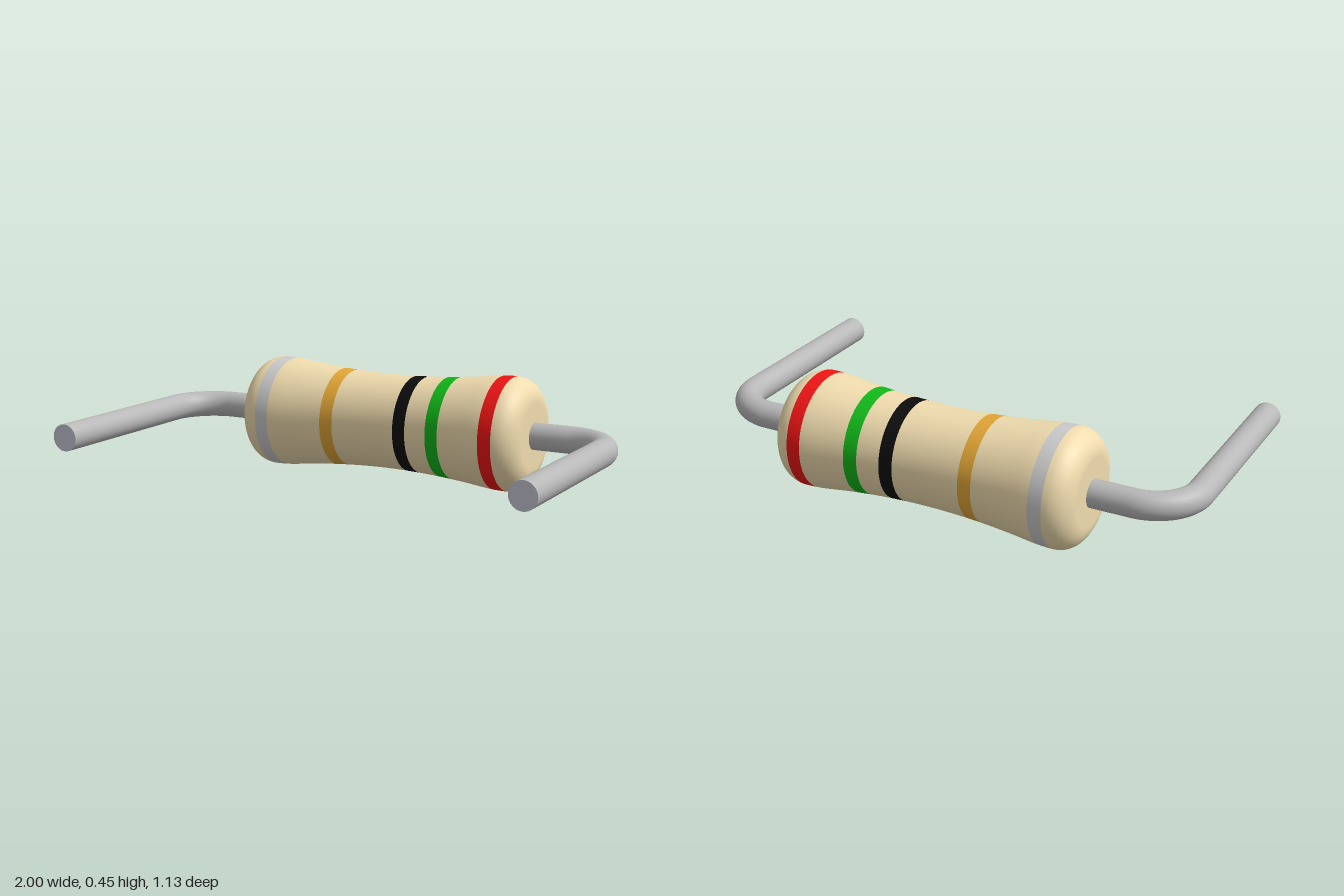
import * as THREE from 'three';

const AXIS_Y = 0.226, AXIS_Z = -0.34;     // body axis, parallel to x
const SHOULDER = 0.52, END = 0.612;       // start and end of the rounded rim
const MAX_R = 0.225, FLAT_R = 0.13;       // body radius and flat end radius
const WIRE_R = 0.053, WIRE_X = 0.947, WIRE_END = 0.565, BEND = 0.18;

// Body radius at x: waisted middle, eased shoulder, rounded rim
function bodyRadius(x) {
  const a = Math.abs(x), k = 0.42;
  if (a <= k) return 0.19 + 0.16 * a * a;
  if (a <= SHOULDER) {
    const t = (SHOULDER - a) / (SHOULDER - k);
    return MAX_R - 0.0067 * t * t;
  }
  const s = Math.min(1, (a - SHOULDER) / (END - SHOULDER));
  return FLAT_R + (MAX_R - FLAT_R) * Math.sqrt(1 - s * s);
}

// Sample positions along the body, closer together round the rims
const samples = [];
for (let i = -26; i <= 26; i++) samples.push(i * 0.02);
for (let i = 1; i <= 10; i++) {
  const x = SHOULDER + (END - SHOULDER) * Math.sin((i / 10) * Math.PI / 2);
  samples.push(x, -x);
}
samples.sort((a, b) => a - b);

function bodySection(name, x0, x1, color) {
  const xs = [x0, ...samples.filter(x => x > x0 + 0.001 && x < x1 - 0.001), x1];
  const points = xs.map(x => new THREE.Vector2(bodyRadius(x), x));
  if (x0 === -END) points.unshift(new THREE.Vector2(0, -END));
  if (x1 === END) points.push(new THREE.Vector2(0, END));
  const mesh = new THREE.Mesh(
    new THREE.LatheGeometry(points, 64),
    new THREE.MeshStandardMaterial({ color })
  );
  mesh.name = name;
  mesh.rotation.z = -Math.PI / 2;
  mesh.position.set(0, AXIS_Y, AXIS_Z);
  return mesh;
}

// Lead: straight out of the body, round bend, then straight forward
function lead(name, side) {
  const group = new THREE.Group();
  group.name = name;
  const p = (x, z) => new THREE.Vector3(side * x, AXIS_Y, z);
  const k = BEND * (1 - 0.5523);
  const path = new THREE.CurvePath();
  path.add(new THREE.LineCurve3(p(0.58, AXIS_Z), p(WIRE_X - BEND, AXIS_Z)));
  path.add(new THREE.CubicBezierCurve3(
    p(WIRE_X - BEND, AXIS_Z), p(WIRE_X - k, AXIS_Z),
    p(WIRE_X, AXIS_Z + k), p(WIRE_X, AXIS_Z + BEND)));
  path.add(new THREE.LineCurve3(p(WIRE_X, AXIS_Z + BEND), p(WIRE_X, WIRE_END)));
  const wire = new THREE.Mesh(
    new THREE.TubeGeometry(path, 80, WIRE_R, 32),
    new THREE.MeshStandardMaterial({ color: 0xb8b8b8 })
  );
  wire.name = name + 'Wire';
  const tip = new THREE.Mesh(
    new THREE.CircleGeometry(WIRE_R, 32),
    new THREE.MeshStandardMaterial({ color: 0xc6c6d4 })
  );
  tip.name = name + 'Tip';
  tip.position.copy(p(WIRE_X, WIRE_END));
  group.add(wire, tip);
  return group;
}

export function createModel() {
  const model = new THREE.Group();
  model.name = 'resistor';

  // Colour bands with plain body sections between them
  const bands = [
    ['silverBand', -0.492, 0xc0c0c4],
    ['goldBand', -0.204, 0xe3a737],
    ['blackBand', 0.121, 0x0c0c0c],
    ['greenBand', 0.266, 0x10b818],
    ['redBand', 0.499, 0xf01414],
  ];
  const half = 0.027, beige = 0xf0dcae;
  let x = -END;
  bands.forEach(([name, centre, color], i) => {
    model.add(bodySection('bodySection' + (i + 1), x, centre - half, beige));
    model.add(bodySection(name, centre - half, centre + half, color));
    x = centre + half;
  });
  model.add(bodySection('bodySection' + (bands.length + 1), x, END, beige));

  model.add(lead('leftLead', 1), lead('rightLead', -1));
  return model;
}
